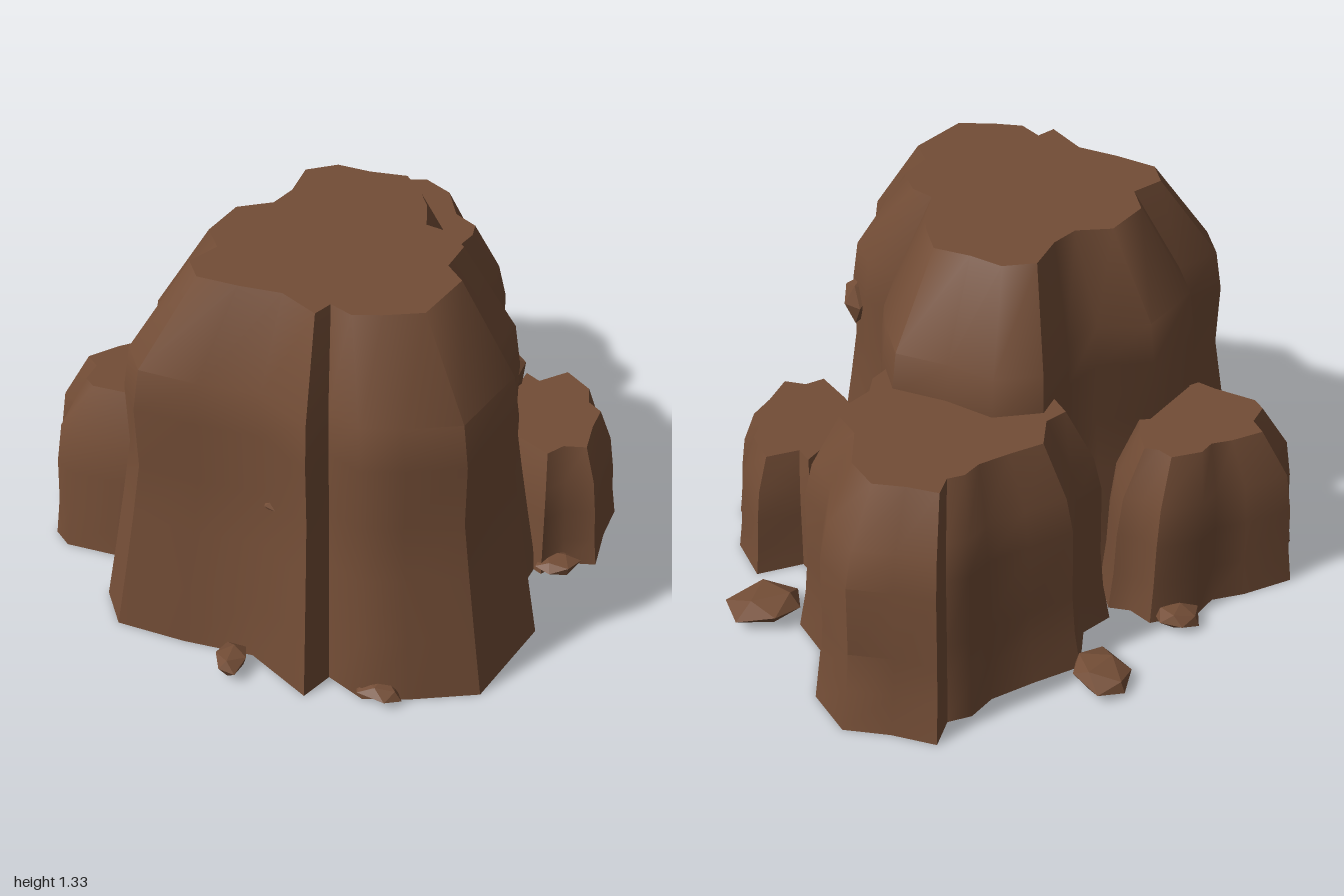
import * as THREE from 'three';
import { toCreasedNormals } from 'three/addons/utils/BufferGeometryUtils.js';

const rockMaterial = new THREE.MeshStandardMaterial({ color: 0x734d36 });
rockMaterial.name = 'brown rock';

// Boulder: a ground outline [x, z], scaled about its centre at each [height, scale] level
function boulder(name, [cx, cz], outline, levels) {
  const n = outline.length, pos = [], index = [];
  for (const [y, s] of levels) {
    for (const [x, z] of outline) pos.push(cx + (x - cx) * s, y, cz + (z - cz) * s);
  }
  const top = (levels.length - 1) * n, bottomCentre = levels.length * n;
  pos.push(cx, 0, cz, cx, levels[levels.length - 1][0], cz);
  for (let i = 0; i < n; i++) {
    const j = (i + 1) % n;
    for (let k = 0; k < top; k += n) {
      index.push(k + i, k + n + i, k + j, k + j, k + n + i, k + n + j);
    }
    index.push(bottomCentre, i, j, bottomCentre + 1, top + j, top + i);
  }
  const geo = new THREE.BufferGeometry();
  geo.setAttribute('position', new THREE.Float32BufferAttribute(pos, 3));
  geo.setIndex(index);
  const mesh = new THREE.Mesh(toCreasedNormals(geo, 0.85), rockMaterial);
  mesh.name = name;
  return mesh;
}

// Stone: a squashed icosahedron with its corners shifted by a rule
function stone(name, [x, y, z], [sx, sy, sz], turn, seed) {
  const geo = new THREE.IcosahedronGeometry(1, 0);
  const p = geo.attributes.position, v = new THREE.Vector3();
  for (let i = 0; i < p.count; i++) {
    v.fromBufferAttribute(p, i);
    v.multiplyScalar(0.95 + 0.17 * Math.sin(v.x * 5 + v.y * 3.1 + v.z * 7.3 + seed));
    p.setXYZ(i, v.x, v.y, v.z);
  }
  geo.scale(sx, sy, sz);
  geo.rotateY(turn);
  geo.computeVertexNormals();
  const mesh = new THREE.Mesh(geo, rockMaterial);
  mesh.position.set(x, y, z);
  mesh.name = name;
  return mesh;
}

export function createModel() {
  const model = new THREE.Group();
  model.name = 'rockCluster';

  // Four flat-topped boulders
  model.add(boulder('tallBoulder', [-0.245, 0.13], [
    [-0.92, -0.34], [-0.72, -0.33], [-0.63, -0.49], [-0.36, -0.55], [-0.18, -0.43],
    [-0.01, -0.45], [0.2, -0.55], [0.37, -0.45], [0.44, -0.26], [0.55, -0.07],
    [0.47, 0.1], [0.39, 0.22], [0.23, 0.36], [0.26, 0.5], [0.2, 0.66], [0.0, 0.72],
    [-0.06, 0.87], [-0.42, 0.93], [-0.59, 0.78], [-0.7, 0.66], [-0.7, 0.51],
    [-0.82, 0.51], [-0.8, 0.25], [-0.91, 0.03], [-1, -0.2],
  ], [[0, 1], [0.22, 0.95], [0.45, 0.9], [0.65, 0.86], [0.88, 0.865], [1.03, 0.835], [1.33, 0.58]]));

  model.add(boulder('sideBoulder', [0.35, -0.25], [
    [-0.05, -0.61], [0.07, -0.61], [0.19, -0.73], [0.36, -0.69], [0.52, -0.66],
    [0.62, -0.68], [0.7, -0.65], [0.79, -0.71], [0.88, -0.58], [0.99, -0.46],
    [0.97, -0.28], [0.83, -0.11], [0.81, 0.04], [0.73, 0.09], [0.58, 0.11],
    [0.51, 0.18], [0.33, 0.22], [0.22, 0.02], [0.08, -0.2], [-0.09, -0.41],
  ], [[0, 1], [0.15, 0.95], [0.3, 0.925], [0.58, 0.915], [0.71, 0.86], [0.9, 0.68]]));

  model.add(boulder('rearBoulder', [-0.45, -0.55], [
    [-0.68, -0.87], [-0.5, -0.82], [-0.39, -0.77], [-0.3, -0.79], [-0.14, -0.72],
    [-0.13, -0.63], [-0.08, -0.57], [-0.15, -0.45], [-0.27, -0.32], [-0.5, -0.28],
    [-0.72, -0.32], [-0.75, -0.42], [-0.85, -0.64], [-0.83, -0.72], [-0.71, -0.77],
  ], [[0, 1], [0.15, 0.95], [0.32, 0.93], [0.47, 0.87], [0.64, 0.62]]));

  model.add(boulder('frontBoulder', [0.44, 0.49], [
    [0.33, 0.23], [0.46, 0.25], [0.63, 0.2], [0.62, 0.29], [0.78, 0.35], [0.74, 0.52],
    [0.65, 0.59], [0.63, 0.68], [0.5, 0.73], [0.35, 0.81], [0.28, 0.72], [0.18, 0.7],
    [0.19, 0.5], [0.22, 0.34],
  ], [[0, 1], [0.1, 0.95], [0.22, 0.92], [0.34, 0.86], [0.46, 0.7]]));

  // Loose pebbles on the ground
  [
    [[0.86, 0.045, 0.15], [0.15, 0.045, 0.11], -0.4, 0],
    [[0.18, 0.04, -0.82], [0.1, 0.04, 0.13], 0.1, 2],
    [[-0.21, 0.04, -0.78], [0.08, 0.04, 0.09], 0.5, 4],
    [[-0.89, 0.04, 0.24], [0.08, 0.035, 0.06], 0.5, 1],
    [[-0.65, 0.035, 0.69], [0.06, 0.03, 0.09], 0.2, 3],
    [[0.23, 0.035, 0.73], [0.09, 0.03, 0.07], -0.2, 5],
  ].forEach((a, i) => model.add(stone('pebble' + (i + 1), ...a)));

  // Shards half sunk into the tall boulder
  [
    [[-0.2, 0.25, 0.74], [0.15, 0.08, 0.06], 0.1, 2],
    [[0.15, 0.82, 0.54], [0.06, 0.09, 0.06], 0.4, 1],
    [[-0.77, 0.93, -0.17], [0.09, 0.11, 0.09], 0.3, 3],
    [[-0.69, 0.62, 0.31], [0.05, 0.07, 0.08], 0, 4],
  ].forEach((a, i) => model.add(stone('shard' + (i + 1), ...a)));

  return model;
}
